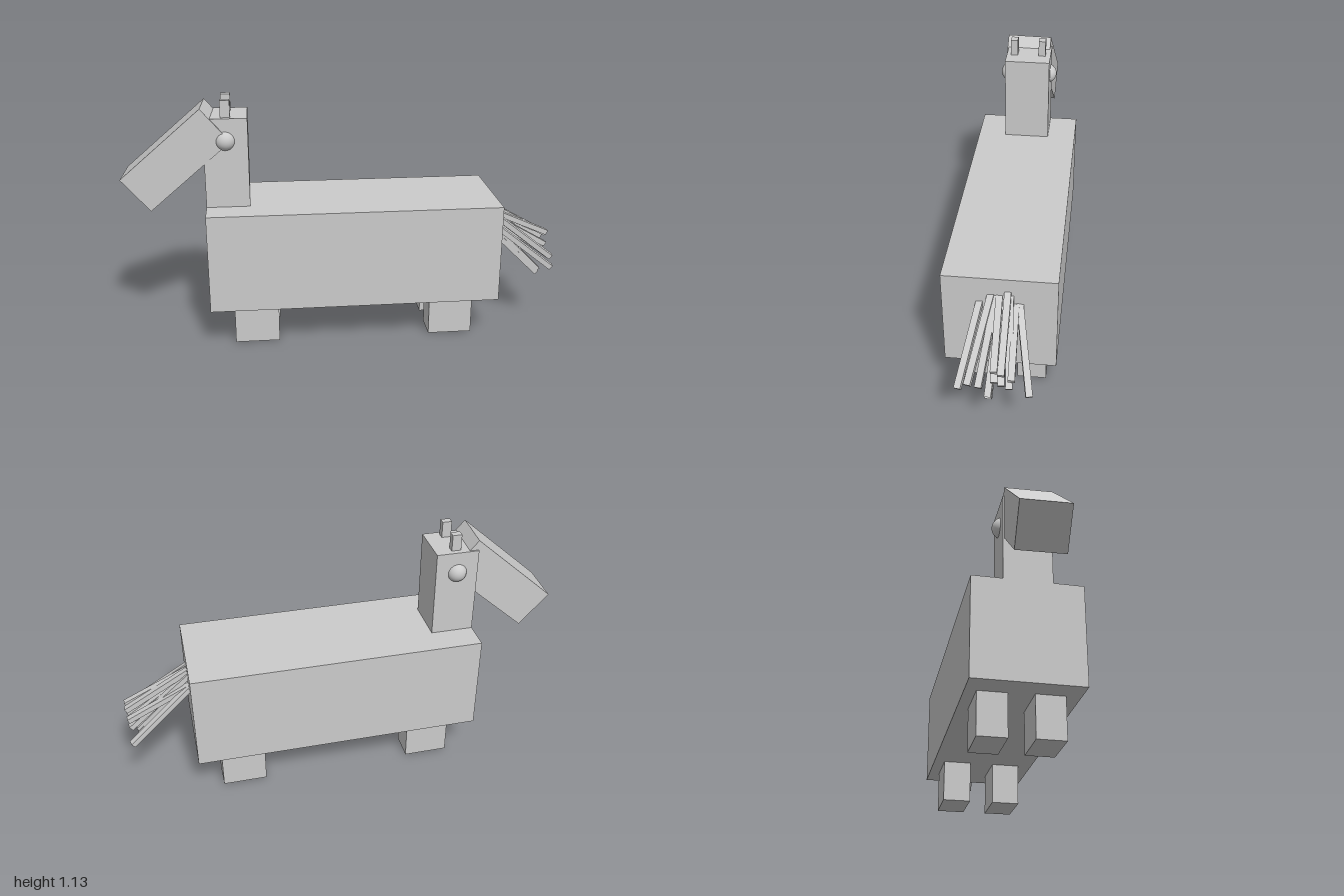
import * as THREE from 'three';

const material = new THREE.MeshStandardMaterial({ color: 0xcccccc, flatShading: true });
const smooth = new THREE.MeshStandardMaterial({ color: 0xcccccc });

export function createModel() {
  const model = new THREE.Group();
  model.name = 'blockHorse';

  const add = (name, geometry, x, y, z, mat = material) => {
    const mesh = new THREE.Mesh(geometry, mat);
    mesh.name = name;
    mesh.position.set(x, y, z);
    model.add(mesh);
    return mesh;
  };
  const box = (name, w, h, d, x, y, z) => add(name, new THREE.BoxGeometry(w, h, d), x, y, z);

  // Trunk and upright neck
  box('body', 1.325, 0.455, 0.478, 0.033, 0.418, 0);
  box('neck', 0.195, 0.42, 0.212, -0.532, 0.84, 0.001);

  // Head slopes down from the neck, turned very slightly aside
  const head = box('head', 0.482, 0.195, 0.21, -0.752, 0.865, 0.001);
  head.rotation.set(0, -0.046, 0.712);

  // Eyes and ears, one per side
  for (const [side, s] of [['left', 1], ['right', -1]]) {
    add(side + 'Eye', new THREE.SphereGeometry(0.046, 32, 20), -0.535, 0.949, s * 0.089, smooth);
    box(side + 'Ear', 0.043, 0.095, 0.033, -0.531, 1.078, 0.003 + s * 0.067);
  }

  // Four short legs
  for (const [name, x, z] of [
    ['frontLegA', -0.422, 0.111], ['frontLegB', -0.412, -0.126],
    ['backLegA', 0.485, 0.111], ['backLegB', 0.485, -0.126],
  ]) box(name, 0.203, 0.2, 0.128, x, 0.1, z);

  // Tail strands: [y, z] where each leaves the body, then its tip [x, y, z]
  const strands = [
    [0.51, 0.083, 0.97, 0.3, 0.137],
    [0.55, 0.036, 0.98, 0.335, 0.095],
    [0.545, 0.015, 0.98, 0.325, 0.052],
    [0.465, 0.005, 0.94, 0.225, 0.018],
    [0.49, 0.0, 0.945, 0.24, 0.02],
    [0.55, 0.0, 0.985, 0.42, -0.012],
    [0.57, -0.035, 0.985, 0.405, -0.04],
    [0.51, -0.068, 0.98, 0.375, -0.08],
    [0.51, -0.085, 0.975, 0.29, -0.15],
    [0.53, 0.01, 0.98, 0.36, -0.012],
    [0.53, -0.01, 0.98, 0.345, -0.04],
    [0.55, -0.045, 0.975, 0.325, -0.07],
  ];
  const tail = new THREE.Group();
  tail.name = 'tail';
  model.add(tail);
  for (const [y, z, tx, ty, tz] of strands) {
    const root = new THREE.Vector3(0.695, y, z);
    const tip = new THREE.Vector3(tx, ty, tz);
    root.lerp(tip, -0.2); // root is buried in the body
    const strand = new THREE.Mesh(new THREE.BoxGeometry(0.028, 0.024, root.distanceTo(tip)), material);
    strand.name = 'tailStrand';
    strand.position.copy(root).lerp(tip, 0.5);
    strand.lookAt(tip);
    tail.add(strand);
  }
  return model;
}
